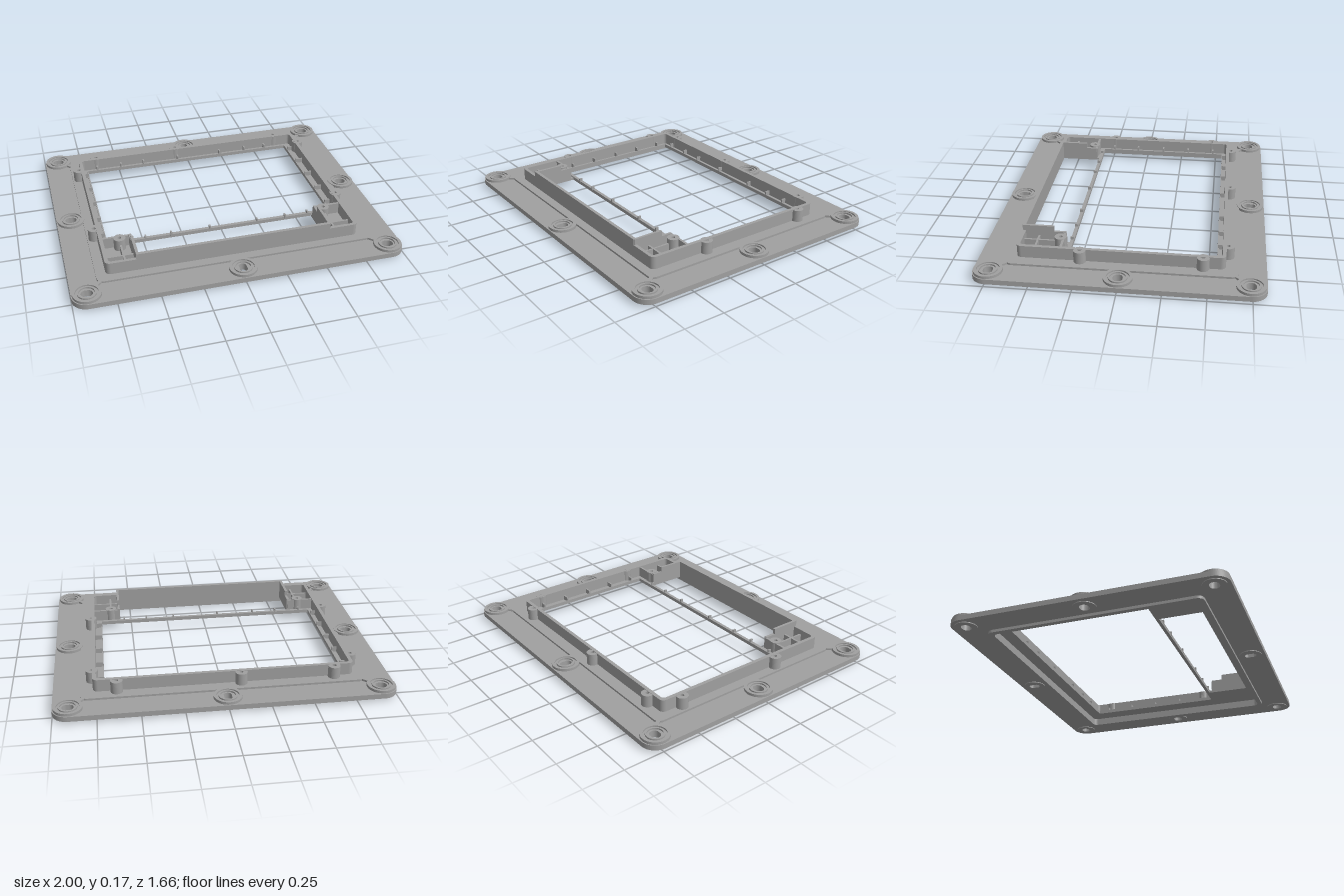
import * as THREE from 'three';

const grey = new THREE.MeshStandardMaterial({ color: 0xa0a0a0 });
grey.name = 'grey plastic';

// Rounded rectangle in plan (x, z)
function rect(x0, x1, z0, z1, r = 0, Type = THREE.Shape) {
  const s = new Type(), a = -z1, b = -z0;
  if (r === 0) {
    s.moveTo(x0, a); s.lineTo(x1, a); s.lineTo(x1, b); s.lineTo(x0, b); s.closePath();
    return s;
  }
  s.moveTo(x0 + r, a);
  s.lineTo(x1 - r, a); s.absarc(x1 - r, a + r, r, -Math.PI / 2, 0);
  s.lineTo(x1, b - r); s.absarc(x1 - r, b - r, r, 0, Math.PI / 2);
  s.lineTo(x0 + r, b); s.absarc(x0 + r, b - r, r, Math.PI / 2, Math.PI);
  s.lineTo(x0, a + r); s.absarc(x0 + r, a + r, r, Math.PI, Math.PI * 1.5);
  return s;
}

function circle(x, z, r, Type = THREE.Shape) {
  const s = new Type();
  s.absarc(x, -z, r, 0, Math.PI * 2);
  return s;
}

export function createModel() {
  const model = new THREE.Group();
  model.name = 'mountingBezel';

  // Flat plan shape raised between two heights
  function slab(name, shape, holes, y0, y1) {
    shape.holes.push(...holes);
    const g = new THREE.ExtrudeGeometry(shape, { depth: y1 - y0, bevelEnabled: false, curveSegments: 20 });
    g.rotateX(-Math.PI / 2);
    g.translate(0, y0, 0);
    const m = new THREE.Mesh(g, grey);
    m.name = name;
    model.add(m);
    return m;
  }
  function block(name, x0, x1, z0, z1, y0, y1) {
    const m = new THREE.Mesh(new THREE.BoxGeometry(x1 - x0, y1 - y0, z1 - z0), grey);
    m.position.set((x0 + x1) / 2, (y0 + y1) / 2, (z0 + z1) / 2);
    m.name = name;
    model.add(m);
    return m;
  }
  const hole = (x0, x1, z0, z1, r = 0) => rect(x0, x1, z0, z1, r, THREE.Path);
  const round = (x, z, r) => circle(x, z, r, THREE.Path);

  // Eight mounting points: corners and edge middles
  const mounts = [];
  for (const x of [-0.91, 0, 0.91]) {
    for (const z of [-0.74, 0, 0.74]) if (x !== 0 || z !== 0) mounts.push([x, z]);
  }

  // Outer flange, raised deck and the rim underneath
  slab('flange', rect(-1, 1, -0.83, 0.83, 0.09),
    [hole(-0.81, 0.81, -0.64, 0.64, 0.04), ...mounts.map(([x, z]) => round(x, z, 0.05))], 0.017, 0.048);
  slab('deck', rect(-0.84, 0.84, -0.67, 0.665, 0.04),
    [hole(-0.727, 0.7, -0.545, 0.31), hole(-0.585, 0.575, 0.33, 0.59)], 0.046, 0.06);
  slab('lowerRim', rect(-0.83, 0.83, -0.655, 0.655, 0.04),
    [hole(-0.8, 0.8, -0.625, 0.625, 0.03)], 0, 0.047);

  // Mounting bosses: outer collar, dished floor with a slot, inner collar
  for (const [x, z] of mounts) {
    const wide = x === 0 ? 0.023 : 0.034;
    const deep = x === 0 ? 0.036 : 0.028;
    const slot = () => hole(x - wide, x + wide, z - deep, z + deep, Math.min(wide, deep) - 0.001);
    slab('bossCollar', circle(x, z, 0.084), [round(x, z, 0.066)], 0.017, 0.064);
    slab('bossFloor', circle(x, z, 0.068), [slot()], 0.012, 0.055);
    slab('bossInnerCollar', circle(x, z, 0.055), [round(x, z, 0.045)], 0.05, 0.064);
  }

  // Diagonal ribs from the deck corners to the corner bosses
  for (const sx of [-1, 1]) {
    for (const sz of [-1, 1]) {
      const rib = new THREE.Mesh(new THREE.BoxGeometry(0.055, 0.02, 0.022), grey);
      rib.name = 'cornerRib';
      rib.position.set(sx * 0.839, 0.05, sz * 0.671);
      rib.rotation.y = -sx * sz * Math.PI / 4;
      model.add(rib);
    }
  }

  // Upright wall around the openings
  slab('frameWall', rect(-0.782, 0.768, -0.597, 0.61, 0.03),
    [hole(-0.76, 0.746, -0.575, 0.59, 0.018)], 0.058, 0.135);
  // Tall front hood with its two cheeks
  block('hoodFront', -0.6, 0.585, 0.59, 0.61, 0.058, 0.17);
  for (const [x0, x1] of [[-0.602, -0.585], [0.575, 0.59]]) {
    block('hoodCheek', x0, x1, 0.42, 0.605, 0.058, 0.17);
    block('hoodCheekLow', x0, x1, 0.35, 0.42, 0.058, 0.135);
  }

  // Low lip around the main opening
  slab('openingLip', rect(-0.735, 0.708, -0.553, 0.33),
    [hole(-0.727, 0.7, -0.545, 0.31)], 0.058, 0.068);

  // Small ribs along the ledge and the cross bar
  for (const x of [-0.66, -0.495, -0.335, -0.09, 0.215, 0.4, 0.55]) {
    block('backLedgeRib', x - 0.005, x + 0.005, -0.58, -0.547, 0.058, 0.09);
    block('barRib', x - 0.005, x + 0.005, 0.312, 0.332, 0.058, 0.085);
  }
  for (const z of [-0.48, -0.3, -0.12, 0.065, 0.24]) {
    block('leftLedgeRib', 0.702, 0.75, z - 0.005, z + 0.005, 0.058, 0.09);
    block('rightLedgeRib', -0.765, -0.729, z - 0.005, z + 0.005, 0.058, 0.09);
  }

  // Ribbed pockets in the front corners
  for (const [x0, x1, xm] of [[-0.765, -0.59, -0.66], [0.58, 0.75, 0.635]]) {
    block('pocketWall', x0, x1, 0.345, 0.36, 0.058, 0.13);
    block('pocketRibLong', xm - 0.006, xm + 0.006, 0.36, 0.595, 0.058, 0.105);
    block('pocketRibCross', x0, x1, 0.504, 0.516, 0.058, 0.105);
  }

  // Screw posts with blind holes
  const posts = [[-0.66, -0.608], [-0.1, -0.608], [0.63, -0.608], [-0.795, -0.468], [0.77, -0.468],
    [-0.795, 0.238], [0.77, 0.238], [-0.66, 0.372], [0.635, 0.372]];
  for (const [x, z] of posts) {
    slab('screwPost', circle(x, z, 0.036), [round(x, z, 0.011)], 0.058, 0.133);
  }

  return model;
}
